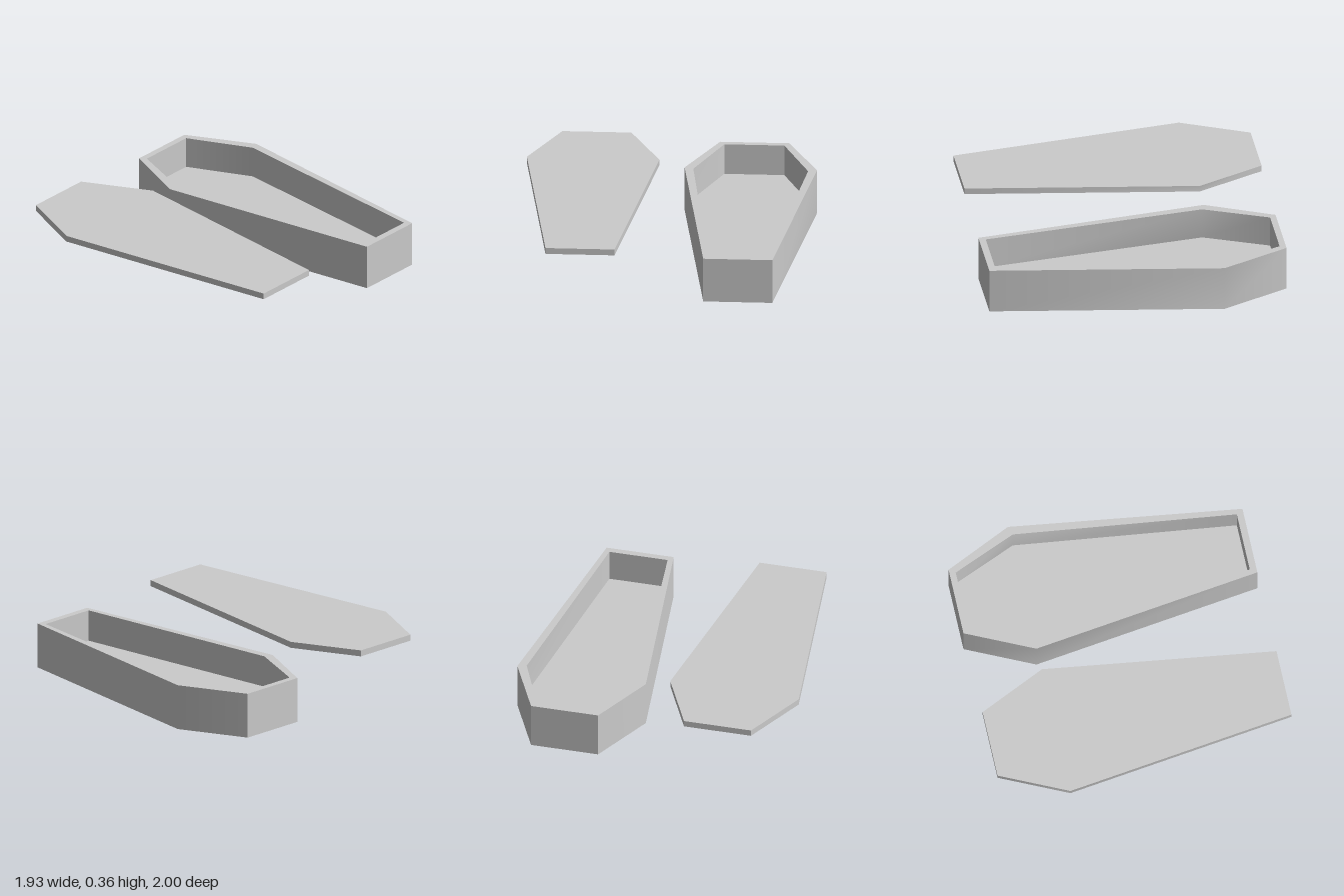
import * as THREE from 'three';
import { toCreasedNormals } from 'three/addons/utils/BufferGeometryUtils.js';

// Six-sided outline at height y, counter-clockwise from above
function outline(y, end, shoulder, zFoot, zShoulder, zHead) {
  return [
    [end, zFoot], [shoulder, zShoulder], [end, zHead],
    [-end, zHead], [-shoulder, zShoulder], [-end, zFoot],
  ].map(([x, z]) => new THREE.Vector3(x, y, z));
}

const outer = (y) => outline(y, 0.23, 0.441, 1, -0.55, -1);
const inner = (y) => outline(y, 0.2, 0.382, 0.955, -0.53, -0.958);

// Skin a series of outlines, closing the first and last with flat faces
function skin(rings) {
  const points = [];
  const n = rings[0].length;
  const first = rings[0];
  const last = rings[rings.length - 1];
  for (let r = 0; r < rings.length - 1; r++) {
    for (let i = 0; i < n; i++) {
      const j = (i + 1) % n;
      const [a, b, c, d] = [rings[r][i], rings[r][j], rings[r + 1][j], rings[r + 1][i]];
      points.push(a, b, c, a, c, d);
    }
  }
  for (let i = 1; i < n - 1; i++) {
    points.push(first[0], first[i + 1], first[i]);
    points.push(last[0], last[i], last[i + 1]);
  }
  const geometry = new THREE.BufferGeometry().setFromPoints(points);
  // Soft at the shoulders, sharp at all other edges
  return toCreasedNormals(geometry, 0.7);
}

export function createModel() {
  const model = new THREE.Group();
  model.name = 'coffin';
  const material = new THREE.MeshStandardMaterial({ color: 0xcccccc });

  const addPart = (name, x, rings) => {
    const mesh = new THREE.Mesh(skin(rings), material);
    mesh.name = name;
    mesh.position.x = x;
    model.add(mesh);
  };

  // Open box: outside walls, rim, inside walls and raised floor
  addPart('coffinBox', 0.525, [outer(0), outer(0.308), inner(0.308), inner(0.095)]);

  // Flat lid laid beside the box
  addPart('lid', -0.525, [outer(0.318), outer(0.36)]);

  return model;
}
